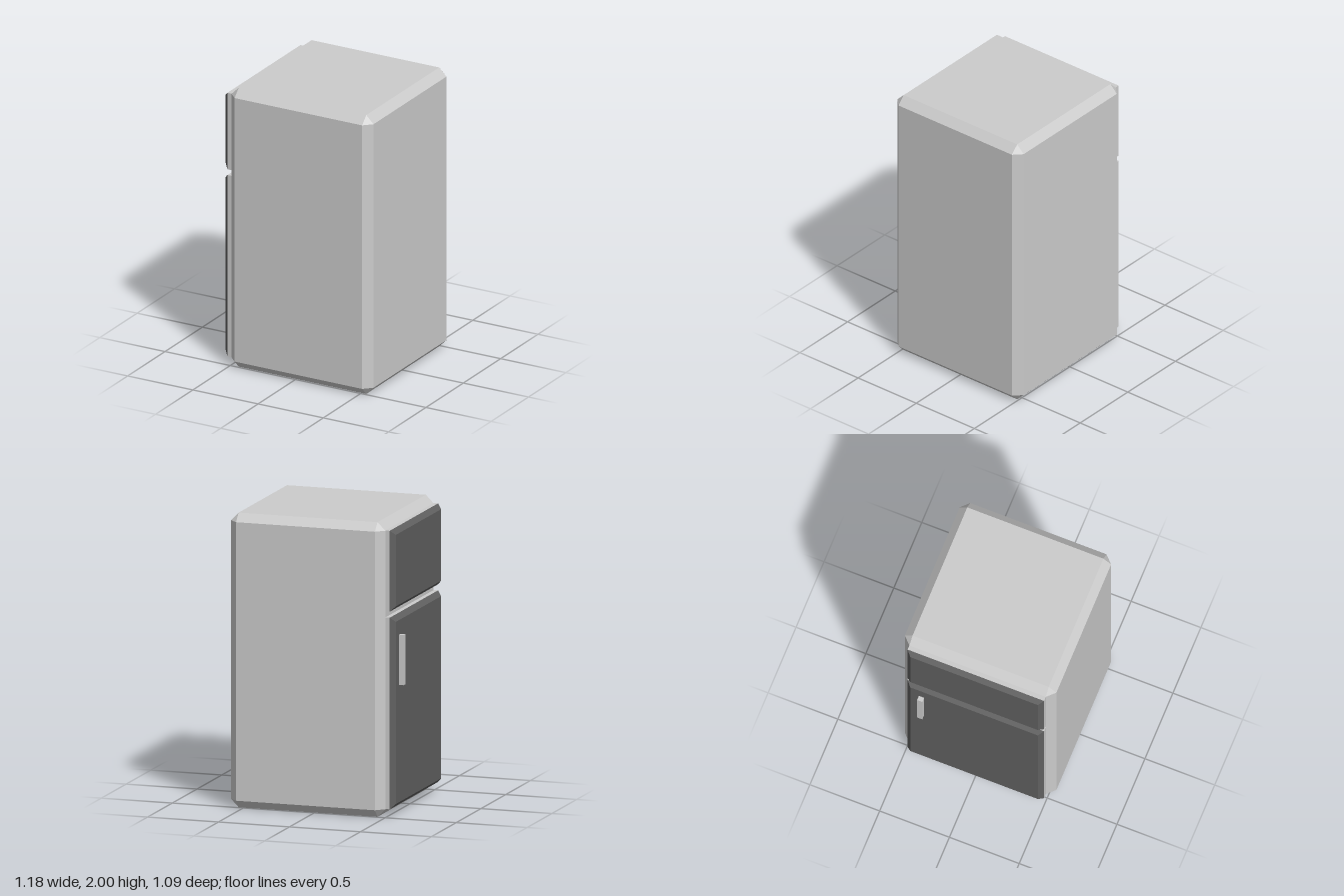
import * as THREE from 'three';
import { ConvexGeometry } from 'three/addons/geometries/ConvexGeometry.js';

const grey = new THREE.MeshStandardMaterial({ color: 0xcccccc, flatShading: true });
const dark = new THREE.MeshStandardMaterial({ color: 0x606060, flatShading: true });

function addMesh(parent, name, geometry, material) {
  const mesh = new THREE.Mesh(geometry, material);
  mesh.name = name;
  parent.add(mesh);
  return mesh;
}

// Box between two corners
function addBox(parent, name, [x0, y0, z0], [x1, y1, z1], material) {
  const mesh = addMesh(parent, name, new THREE.BoxGeometry(x1 - x0, y1 - y0, z1 - z0), material);
  mesh.position.set((x0 + x1) / 2, (y0 + y1) / 2, (z0 + z1) / 2);
  return mesh;
}

// Box with every edge cut at 45 degrees: each corner becomes three points
function chamferedBox(w, h, d, c) {
  const points = [];
  for (const sx of [-1, 1]) for (const sy of [-1, 1]) for (const sz of [-1, 1]) {
    const x = w / 2, y = h / 2, z = d / 2;
    points.push(
      new THREE.Vector3(sx * x, sy * (y - c), sz * (z - c)),
      new THREE.Vector3(sx * (x - c), sy * y, sz * (z - c)),
      new THREE.Vector3(sx * (x - c), sy * (y - c), sz * z));
  }
  return new ConvexGeometry(points);
}

// Door on the -x side: grey slab with a bevelled dark panel on it
function makeDoor(name, y0, y1) {
  const door = new THREE.Group();
  door.name = name;
  const z = 0.489, bevel = 0.032;
  addBox(door, 'doorSlab', [-0.528, y0, -z], [-0.497, y1, z], grey);
  const points = [];
  for (const [x, b] of [[-0.528, 0], [-0.56, bevel]])
    for (const y of [y0 + b, y1 - b])
      for (const s of [-1, 1]) points.push(new THREE.Vector3(x, y, s * (z - b)));
  addMesh(door, 'doorPanel', new ConvexGeometry(points), dark);
  return door;
}

export function createModel() {
  const fridge = new THREE.Group();
  fridge.name = 'refrigerator';

  // Cabinet
  const cabinet = addMesh(fridge, 'cabinet', chamferedBox(1.088, 2, 1.086, 0.055), grey);
  cabinet.position.set(0.047, 1, 0);

  // Doors
  fridge.add(makeDoor('freezerDoor', 1.398, 1.947), makeDoor('mainDoor', 0.057, 1.357));

  // Handle of the main door
  addBox(fridge, 'handle', [-0.592, 0.885, -0.395], [-0.56, 1.225, -0.358], grey);

  return fridge;
}
